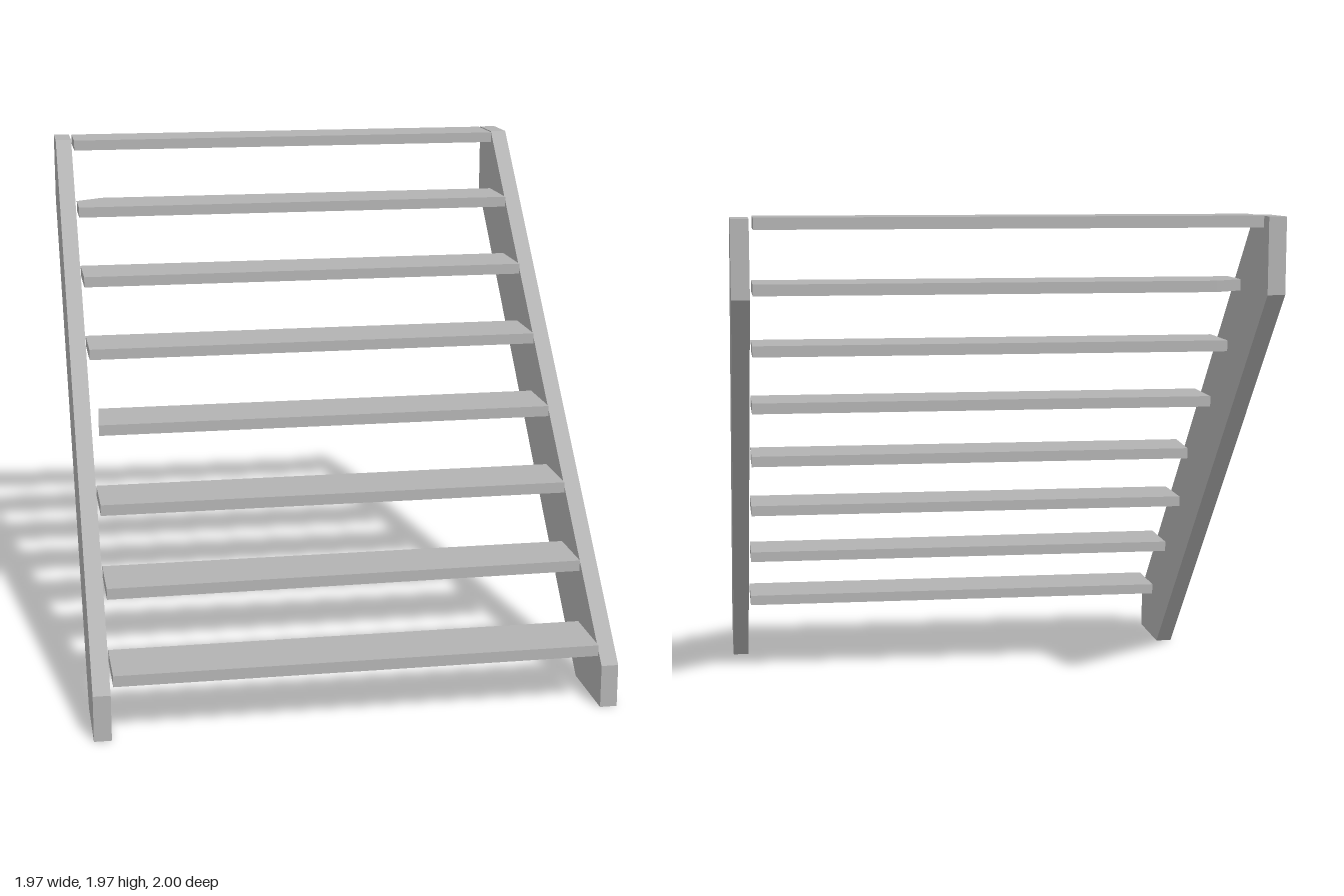
import * as THREE from 'three';

const grey = new THREE.MeshStandardMaterial({ color: 0xb2b2b2 });
grey.name = 'grey';

// Prism from a flat outline
function extrude(points, depth) {
  const shape = new THREE.Shape(points.map(([x, y]) => new THREE.Vector2(x, y)));
  return new THREE.ExtrudeGeometry(shape, { depth, bevelEnabled: false });
}

// Sloping side board; outline given in (z, y), inner or outer face at xMax
function stringer(name, xMax, frontTop, crestZ) {
  const geometry = extrude([
    [1, 0], [1, frontTop], [crestZ, 1.965], [-1, 1.965], [-1, 1.685], [0.685, 0],
  ], 0.065);
  geometry.rotateY(-Math.PI / 2).translate(xMax, 0, 0);
  const mesh = new THREE.Mesh(geometry, grey);
  mesh.name = name;
  return mesh;
}

// Horizontal plank; outline given in (x, z)
function tread(name, outline, y) {
  const geometry = extrude(outline.map(([x, z]) => [x, -z]), 0.042);
  geometry.rotateX(-Math.PI / 2).translate(0, y, 0);
  const mesh = new THREE.Mesh(geometry, grey);
  mesh.name = name;
  return mesh;
}

export function createModel() {
  const group = new THREE.Group();
  group.name = 'openStaircase';
  group.add(stringer('leftStringer', 0.985, 0.165, -0.81));
  group.add(stringer('rightStringer', -0.92, 0.175, -0.8));

  // Eight treads with slightly worn, uneven edges
  const fronts = [1, 0.755, 0.505, 0.255, 0.01, -0.235, -0.485, -0.745];
  const L = -0.91, R = 0.905;
  fronts.forEach((front, i) => {
    const back = i === 7 ? -0.97 : front - 0.26;
    let outline = [[L, front], [R, front], [R, back], [L, back]];
    if (i === 1) outline[1] = [R, 0.735];
    if (i === 3) outline = [[-0.895, front], [R, front], [R, back], [-0.88, back]];
    if (i === 6) outline.splice(3, 1, [-0.8, back], [L, -0.67]);
    group.add(tread(`tread${i + 1}`, outline, 0.207 + i * 0.2455));
  });
  return group;
}
